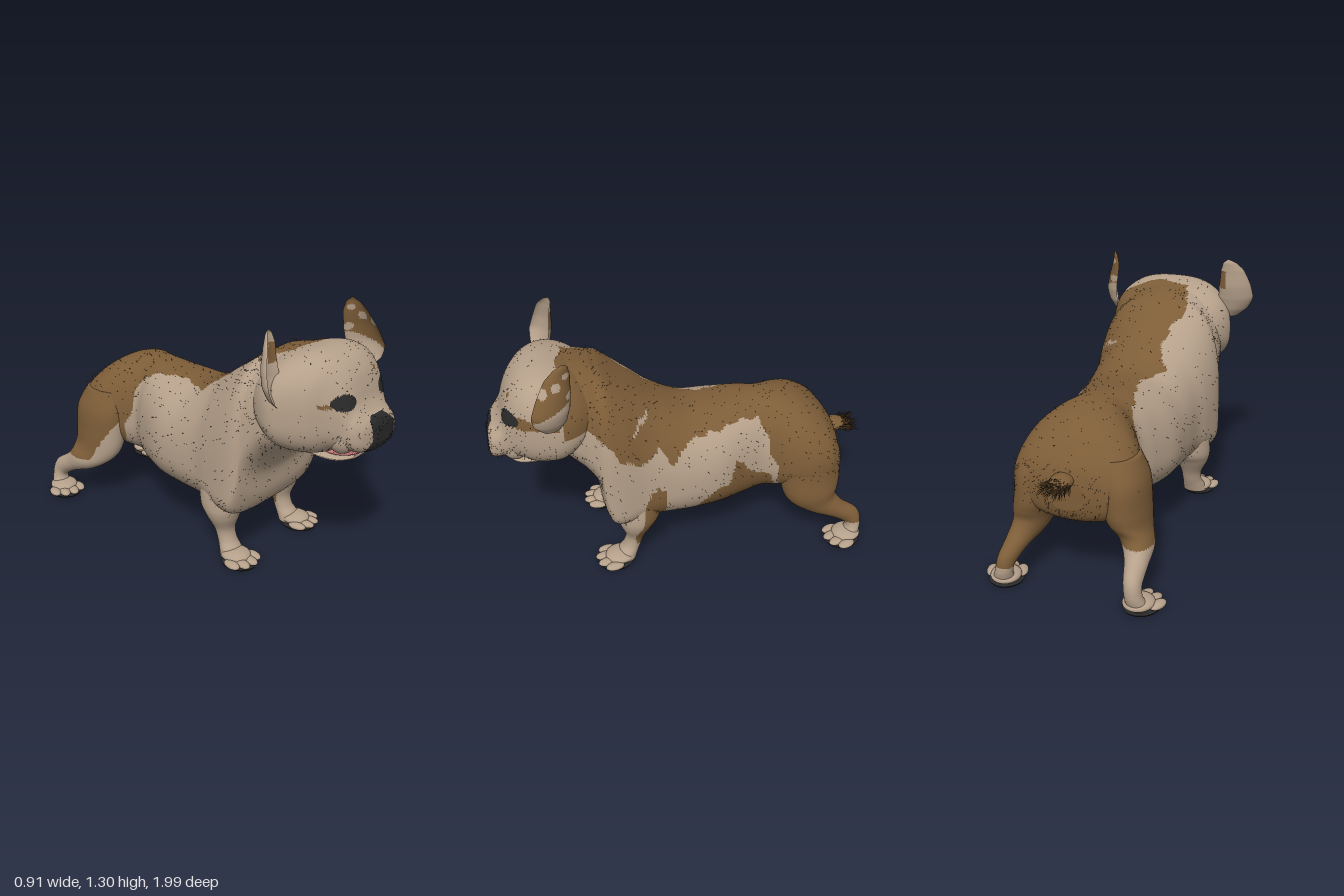
import * as THREE from 'three';
import { mergeGeometries } from 'three/addons/utils/BufferGeometryUtils.js';

const mat = (name, color, side = THREE.FrontSide) => Object.assign(new THREE.MeshStandardMaterial({ color, side }), { name });
const tan = mat('tan coat', 0xb5a08a);
const brown = mat('brown coat', 0x7d5d38);
const black = mat('black skin', 0x2a2a2b);
const pink = mat('pink tongue', 0xc8757a);
const hair = mat('dark hair', 0x4a3720, THREE.DoubleSide);
const earTan = mat('ear tan', 0xb5a08a, THREE.DoubleSide);
const earBrown = mat('ear brown', 0x7d5d38, THREE.DoubleSide);

let seed = 7;
const rnd = () => (seed = (seed * 16807) % 2147483647) / 2147483647;

const cubic = (a, b, c, d, t) =>
  0.5 * (2 * b + (c - a) * t + (2 * a - 5 * b + 4 * c - d) * t * t + (3 * b - a - 3 * c + d) * t * t * t);

// Smooth skin through interpolated cross-sections, closed at both ends
function loft(sections, place, sub, cols) {
  const n = sections.length, rows = (n - 1) * sub + 1, pos = [], idx = [];
  const at = (i) => sections[Math.min(n - 1, Math.max(0, i))];
  const ends = [new THREE.Vector3(), new THREE.Vector3()];
  for (let r = 0; r < rows; r++) {
    const i = Math.min(n - 2, Math.floor(r / sub)), t = r / sub - i;
    const s = at(i).map((_, k) => cubic(at(i - 1)[k], at(i)[k], at(i + 1)[k], at(i + 2)[k], t));
    for (let c = 0; c < cols; c++) {
      const p = place(s, (c / cols) * Math.PI * 2);
      pos.push(p.x, p.y, p.z);
      if (r === 0) ends[0].addScaledVector(p, 1 / cols);
      if (r === rows - 1) ends[1].addScaledVector(p, 1 / cols);
    }
  }
  ends.forEach((p) => pos.push(p.x, p.y, p.z));
  const e0 = rows * cols, last = (rows - 1) * cols;
  for (let c = 0; c < cols; c++) {
    const d = (c + 1) % cols;
    for (let r = 0; r < rows - 1; r++) {
      const a = r * cols + c, b = r * cols + d;
      idx.push(a, b, b + cols, a, b + cols, a + cols);
    }
    idx.push(e0, d, c, e0 + 1, last + c, last + d);
  }
  // turn the faces outward
  let volume = 0;
  const v = (i) => new THREE.Vector3().fromArray(pos, i * 3);
  for (let i = 0; i < idx.length; i += 3) volume += v(idx[i]).dot(v(idx[i + 1]).cross(v(idx[i + 2])));
  if (volume < 0) idx.reverse();
  const g = new THREE.BufferGeometry();
  g.setAttribute('position', new THREE.Float32BufferAttribute(pos, 3));
  g.setIndex(idx);
  g.computeVertexNormals();
  return g;
}

// Upright section: z, top, bottom, widest height, half width, centre x, squareness
function upright([z, top, bot, wy, hw, cx, e], a) {
  const c = Math.cos(a), s = Math.sin(a), k = (q) => Math.sign(q) * Math.abs(q) ** (2 / e);
  return new THREE.Vector3(cx + hw * k(c), wy + k(s) * (s > 0 ? top - wy : wy - bot), z);
}
// Limb section: x, y, z, half width, half depth, tilt
const limb = ([x, y, z, rx, rd, t], a) => new THREE.Vector3(
  x + rx * Math.cos(a), y + rd * Math.sin(a) * Math.sin(t), z + rd * Math.sin(a) * Math.cos(t));

// Sorts the faces into one group per material; rule gives the material index
function painted(name, g, mats, rule) {
  const p = g.attributes.position, src = g.index.array, bins = mats.map(() => []);
  const m = new THREE.Vector3(), q = new THREE.Vector3();
  for (let i = 0; i < src.length; i += 3) {
    m.set(0, 0, 0);
    for (let k = 0; k < 3; k++) m.addScaledVector(q.fromBufferAttribute(p, src[i + k]), 1 / 3);
    bins[Number(rule(m))].push(src[i], src[i + 1], src[i + 2]);
  }
  g.setIndex(bins.flat());
  let start = 0;
  bins.forEach((b, i) => { g.addGroup(start, b.length, i); start += b.length; });
  return Object.assign(new THREE.Mesh(g, mats), { name });
}

const inside = (poly, u, v) => poly.reduce((hit, [a, b], i) => {
  const [c, d] = poly[(i + poly.length - 1) % poly.length];
  return (b > v) !== (d > v) && u < ((c - a) * (v - b)) / (d - b) + a ? !hit : hit;
}, false);
// Value from a table of pairs sorted by falling key
function table(t, rows) {
  const i = rows.findIndex((r) => r[0] <= t);
  if (i <= 0) return i ? rows[rows.length - 1][1] : rows[0][1];
  const [a, b] = rows[i - 1], [c, d] = rows[i];
  return b + ((d - b) * (a - t)) / (a - c);
}

// Coat pattern
const saddleEdge = [[0.65, 0], [0.6, -0.08], [0.5, -0.14], [0.4, -0.15], [0.2, -0.08], [0.08, -0.14], [-0.1, -0.08], [-0.3, -0.1], [-0.4, -0.2], [-0.5, -0.28]];
const saddleHem = [[0.62, 0.94], [0.55, 0.92], [0.46, 0.84], [0.42, 0.79], [0.38, 0.72], [0.25, 0.67], [0.18, 0.74], [0.12, 0.63], [0.03, 0.72], [-0.07, 0.745], [-0.25, 0.78], [-0.4, 0.755]];
const flankPatch = [[0.0, 0.15], [-0.02, 0.3], [-0.1, 0.43], [-0.2, 0.46], [-0.22, 0.59], [-0.25, 0.58], [-0.31, 0.49], [-0.42, 0.45], [-0.47, 0.3], [-0.5, 0.15]];
const elbowPatch = [[0.2, 0.52], [0.14, 0.47], [0.16, 0.25], [0.2, 0.1], [0.32, 0.1], [0.28, 0.32]];
const shoulderFleck = [[0.32, 0.82], [0.24, 0.86], [0.21, 0.9], [0.23, 0.91], [0.28, 0.87]];
function coat({ x, y, z }) {
  const w = 0.008 * Math.sin(31 * y + 17 * z) + 0.006 * Math.sin(67 * z + 23 * x);
  const u = z + w, v = y + w;
  if (u < -0.38 - 0.25 * (0.75 - y)) return true;
  if (x > 0 && (inside(flankPatch, u, v) || inside(elbowPatch, u, v))) return true;
  if (x <= 0 && y < 0.29 && u < -0.02 && u > -0.25) return true;
  if (Math.abs(x) < 0.06 - 0.5 * (0.64 - y) && z > 0.45 && y > 0.58 && y < 0.66) return true;
  if (x > 0.1 && inside(shoulderFleck, u, v)) return false;
  return x + w > table(z, saddleEdge) && v > table(z, saddleHem);
}
const nosePatch = [[-0.02, 0.87], [0, 0.89], [0.09, 0.89], [0.17, 0.825], [0.17, 0.72], [0.14, 0.7], [-0.07, 0.695], [-0.05, 0.725], [-0.01, 0.77]];
function face({ x, y, z }) {
  if (z > 0.94 && inside(nosePatch, x, y)) return 2;
  if (z > 0.79 && [[-0.11, 0.965], [0.205, 0.97]].some(([a, b]) => ((x - a) / 0.062) ** 2 + ((y - b) / 0.038) ** 2 < 1)) return 2;
  if (z < 0.62 + 0.02 * Math.sin(22 * x) && x > -0.1 && y > 0.9) return 1;
  if (x > 0.2 && z < 0.88 && z > 0.66 && y > 0.94 && y < 0.99 + 0.01 * Math.sin(40 * z)) return 1;
  if (z > 0.75 && x < -0.165 && x > -0.22 && Math.abs(y - 0.955) < 0.01) return 1;
  return z > 0.8 && Math.hypot(x - 0.15, y - 1.06) < 0.012 ? 1 : 0;
}

// Short loose hairs standing on a skin
function fur(name, g, count) {
  const P = g.attributes.position, N = g.attributes.normal, pos = [];
  for (let i = 0; i < count; i++) {
    const k = Math.floor(rnd() * P.count);
    const p = new THREE.Vector3().fromBufferAttribute(P, k), n = new THREE.Vector3().fromBufferAttribute(N, k);
    const side = new THREE.Vector3(rnd() - 0.5, rnd() - 0.5, rnd() - 0.5).cross(n).setLength(0.0006);
    const tip = p.clone().addScaledVector(n, 0.018).add(new THREE.Vector3((rnd() - 0.5) * 0.012, -0.003, -0.006));
    pos.push(...p.clone().add(side), ...p.clone().sub(side), ...tip);
  }
  const f = new THREE.BufferGeometry();
  f.setAttribute('position', new THREE.Float32BufferAttribute(pos, 3));
  f.computeVertexNormals();
  return Object.assign(new THREE.Mesh(f, hair), { name });
}

// Cupped ear: side of the head, direction the cup opens, axis points, coat rule
function ear(name, sx, open, points, rule) {
  const o = new THREE.Vector3(...open).normalize(), s = new THREE.Vector3(o.z, 0, -o.x);
  const axis = new THREE.CatmullRomCurve3(points.map(([x, y, z]) => new THREE.Vector3(sx * x, y, z)));
  const width = [[1, 0.004], [0.93, 0.035], [0.75, 0.065], [0.5, 0.09], [0.3, 0.1], [0.12, 0.085], [0, 0.045]];
  const g = new THREE.PlaneGeometry(1, 1, 28, 36), p = g.attributes.position;
  for (let i = 0; i < p.count; i++) {
    const a = p.getX(i) * 2.9, v = p.getY(i) + 0.5, w = table(v, width);
    const q = axis.getPoint(v).addScaledVector(s, w * Math.sin(a)).addScaledVector(o, w * (0.2 - 0.6 * Math.cos(a)));
    p.setXYZ(i, q.x, q.y, q.z);
  }
  g.computeVertexNormals();
  return painted(name, g, [earTan, earBrown], rule);
}

const ball = (x, y, z, a, b, c) => new THREE.SphereGeometry(1, 24, 16).scale(a, b, c).translate(x, y, z);
// Paw with four toes and a dark sole
function paw(name, x, z, turn) {
  const parts = [ball(0, 0.036, -0.02, 0.075, 0.03, 0.08)];
  [-0.072, -0.026, 0.026, 0.072].forEach((t) => parts.push(ball(t, 0.024, 0.075 - Math.abs(t) * 0.6, 0.029, 0.018, 0.05)));
  const g = Object.assign(new THREE.Group(), { name });
  const sole = new THREE.CylinderGeometry(0.088, 0.084, 0.008, 28).scale(1, 1, 1.12).translate(0, 0.004, 0.005);
  g.add(Object.assign(new THREE.Mesh(mergeGeometries(parts), tan), { name: 'toes' }), Object.assign(new THREE.Mesh(sole, black), { name: 'sole' }));
  g.position.set(x, 0, z);
  g.rotation.y = turn;
  return g;
}

export function createModel() {
  const dog = Object.assign(new THREE.Group(), { name: 'dog' });
  const add = (name, g, m) => dog.add(Object.assign(new THREE.Mesh(g, m), { name }));

  // Rump, belly, chest and neck
  const trunk = loft([
    [-0.82, 0.56, 0.42, 0.49, 0.1, 0.03, 2], [-0.8, 0.63, 0.37, 0.49, 0.21, 0.03, 2.1], [-0.76, 0.69, 0.34, 0.49, 0.285, 0.03, 2.2],
    [-0.7, 0.755, 0.33, 0.49, 0.315, 0.03, 2.2], [-0.6, 0.815, 0.32, 0.49, 0.315, 0.035, 2.2], [-0.5, 0.842, 0.3, 0.5, 0.272, 0.04, 2.2],
    [-0.4, 0.847, 0.275, 0.5, 0.218, 0.035, 2.2], [-0.3, 0.84, 0.25, 0.49, 0.245, 0.02, 2.3], [-0.15, 0.825, 0.235, 0.48, 0.3, 0.015, 2.3],
    [0, 0.83, 0.225, 0.47, 0.315, 0.015, 2.3], [0.15, 0.9, 0.23, 0.46, 0.32, 0.01, 2.4], [0.25, 0.97, 0.245, 0.44, 0.335, 0, 2.6],
    [0.35, 1.04, 0.25, 0.41, 0.352, 0, 3], [0.42, 1.09, 0.27, 0.42, 0.352, 0, 3.2], [0.458, 1.11, 0.35, 0.54, 0.335, 0, 2.9],
    [0.475, 1.12, 0.48, 0.68, 0.325, 0, 2.5], [0.53, 1.135, 0.58, 0.77, 0.315, 0, 2.4], [0.6, 1.145, 0.65, 0.83, 0.3, 0, 2.3], [0.68, 1.12, 0.7, 0.88, 0.22, 0, 2.2],
  ], upright, 9, 140);
  dog.add(painted('trunk', trunk, [tan, brown], coat), fur('trunkHair', trunk, 2600));

  // Head and muzzle, turned slightly to its left
  const head = loft([
    [0.48, 1.08, 0.8, 0.92, 0.26, 0, 2.2], [0.56, 1.135, 0.74, 0.9, 0.322, 0, 2.4], [0.64, 1.16, 0.69, 0.89, 0.345, 0, 2.6],
    [0.72, 1.17, 0.675, 0.89, 0.322, 0.01, 2.7], [0.79, 1.155, 0.68, 0.89, 0.284, 0.023, 2.7], [0.84, 1.125, 0.7, 0.88, 0.24, 0.037, 2.6],
    [0.88, 1.075, 0.705, 0.86, 0.202, 0.042, 2.5], [0.905, 1.015, 0.705, 0.83, 0.18, 0.044, 2.5], [0.925, 0.95, 0.705, 0.81, 0.168, 0.046, 2.6],
    [0.95, 0.91, 0.705, 0.8, 0.16, 0.05, 2.6], [0.975, 0.885, 0.71, 0.79, 0.14, 0.062, 2.6], [0.99, 0.865, 0.72, 0.785, 0.11, 0.075, 2.5],
    [1, 0.83, 0.75, 0.785, 0.06, 0.082, 2.2],
  ], upright, 9, 108);
  dog.add(painted('head', head, [tan, brown, black], face), fur('headHair', head, 1000));
  for (const s of [1, -1]) add('jowl', ball(0.043 + s * 0.11, 0.775, 0.87, 0.075, 0.078, 0.07), tan);

  // Lower jaw and tongue
  const jaw = loft([
    [0.64, 0.72, 0.675, 0.7, 0.16, 0.02, 2], [0.73, 0.7, 0.648, 0.68, 0.155, 0.025, 2.1], [0.81, 0.68, 0.636, 0.665, 0.14, 0.03, 2.1],
    [0.87, 0.674, 0.645, 0.662, 0.115, 0.035, 2.2], [0.91, 0.674, 0.658, 0.666, 0.07, 0.035, 2],
  ], upright, 8, 48);
  dog.add(painted('jaw', jaw, [tan, brown], (p) => p.y < 0.66 && p.x > -0.05 && p.z < 0.8));
  add('tongue', ball(0.03, 0.69, 0.815, 0.122, 0.026, 0.112), pink);

  // Ears
  dog.add(ear('rightEar', -1, [0.4, 0, 0.92],
    [[0.325, 0.97, 0.69], [0.36, 1.06, 0.68], [0.36, 1.15, 0.66], [0.345, 1.24, 0.645], [0.325, 1.305, 0.62]],
    (p) => p.x > -0.315 && p.y > 1.14 + 0.2 * (p.x + 0.3) && p.y < 1.24));
  dog.add(ear('leftEar', 1, [-0.93, 0, 0.36],
    [[0.355, 0.97, 0.69], [0.375, 1.06, 0.69], [0.36, 1.15, 0.67], [0.338, 1.24, 0.645], [0.338, 1.305, 0.62]],
    ({ y, z }) => y > 1.1 - 0.4 * (z - 0.66)
      && ![[1.21, 0.66, 0.022], [1.15, 0.6, 0.018], [1.25, 0.61, 0.016], [1.19, 0.725, 0.025]].some(([a, b, r]) => Math.hypot(y - a, z - b) < r)));

  // Legs and paws
  for (const s of [1, -1]) {
    const side = s > 0 ? 'left' : 'right';
    const placed = (rows, shift) => rows.map(([x, y, ...rest]) => [s * x + (y > 0.3 ? shift : 0), y, ...rest]);
    const fore = loft(placed([
      [0.22, 0.46, 0.28, 0.1, 0.12, 0], [0.238, 0.31, 0.285, 0.102, 0.115, 0], [0.242, 0.24, 0.297, 0.089, 0.088, 0], [0.236, 0.16, 0.305, 0.058, 0.052, 0],
      [0.236, 0.1, 0.322, 0.053, 0.046, 0], [0.24, 0.06, 0.345, 0.06, 0.053, 0], [0.245, 0.02, 0.365, 0.068, 0.058, 0],
    ], 0), limb, 8, 40);
    dog.add(painted(side + 'FrontLeg', fore, [tan, brown], (p) => s > 0 && p.y > 0.12 && coat(p)));
    const hind = loft(placed([
      [0.18, 0.66, -0.63, 0.1, 0.12, 0], [0.215, 0.55, -0.64, 0.11, 0.16, 0], [0.225, 0.42, -0.645, 0.113, 0.163, 0], [0.245, 0.32, -0.655, 0.103, 0.146, -0.2],
      [0.275, 0.25, -0.7, 0.083, 0.098, -0.5], [0.3, 0.195, -0.785, 0.058, 0.058, -0.9], [0.315, 0.142, -0.872, 0.045, 0.052, -0.75],
      [0.325, 0.09, -0.892, 0.043, 0.042, -0.1], [0.335, 0.045, -0.88, 0.05, 0.045, 0], [0.34, 0.015, -0.865, 0.055, 0.05, 0],
    ], 0.018), limb, 8, 40);
    dog.add(painted(side + 'HindLeg', hind, [tan, brown], ({ y, z }) => (s > 0
      ? y > 0.11 && z < -0.48
      : y > 0.26 && z < -0.48 - 0.6 * Math.max(0, 0.5 - y))));
    dog.add(paw(side + 'FrontPaw', s * 0.255, 0.412, s * 0.15), paw(side + 'HindPaw', s * 0.345, -0.835, s * 0.35));
  }

  // Stub tail with a bushy tuft, brown at the core and dark outside
  add('tail', ball(0.04, 0.57, -0.83, 0.055, 0.035, 0.08), brown);
  const core = [], tuft = [];
  for (let i = 0; i < 300; i++) {
    const a = rnd() * Math.PI * 2, r = Math.sqrt(rnd()), len = 0.05 + 0.05 * rnd();
    const spike = new THREE.ConeGeometry(0.003, len, 3, 1, true).rotateX(-Math.PI / 2);
    spike.rotateX(Math.sin(a) * r * 0.6).rotateY(-Math.cos(a) * r * 0.5);
    (i % 2 ? core : tuft).push(spike.translate(0.04 + 0.065 * r * Math.cos(a), 0.567 + 0.03 * r * Math.sin(a), -0.85 - 0.085 * rnd()));
  }
  add('tailTuft', mergeGeometries(tuft), hair);
  add('tailCore', mergeGeometries(core), brown);
  return dog;
}
